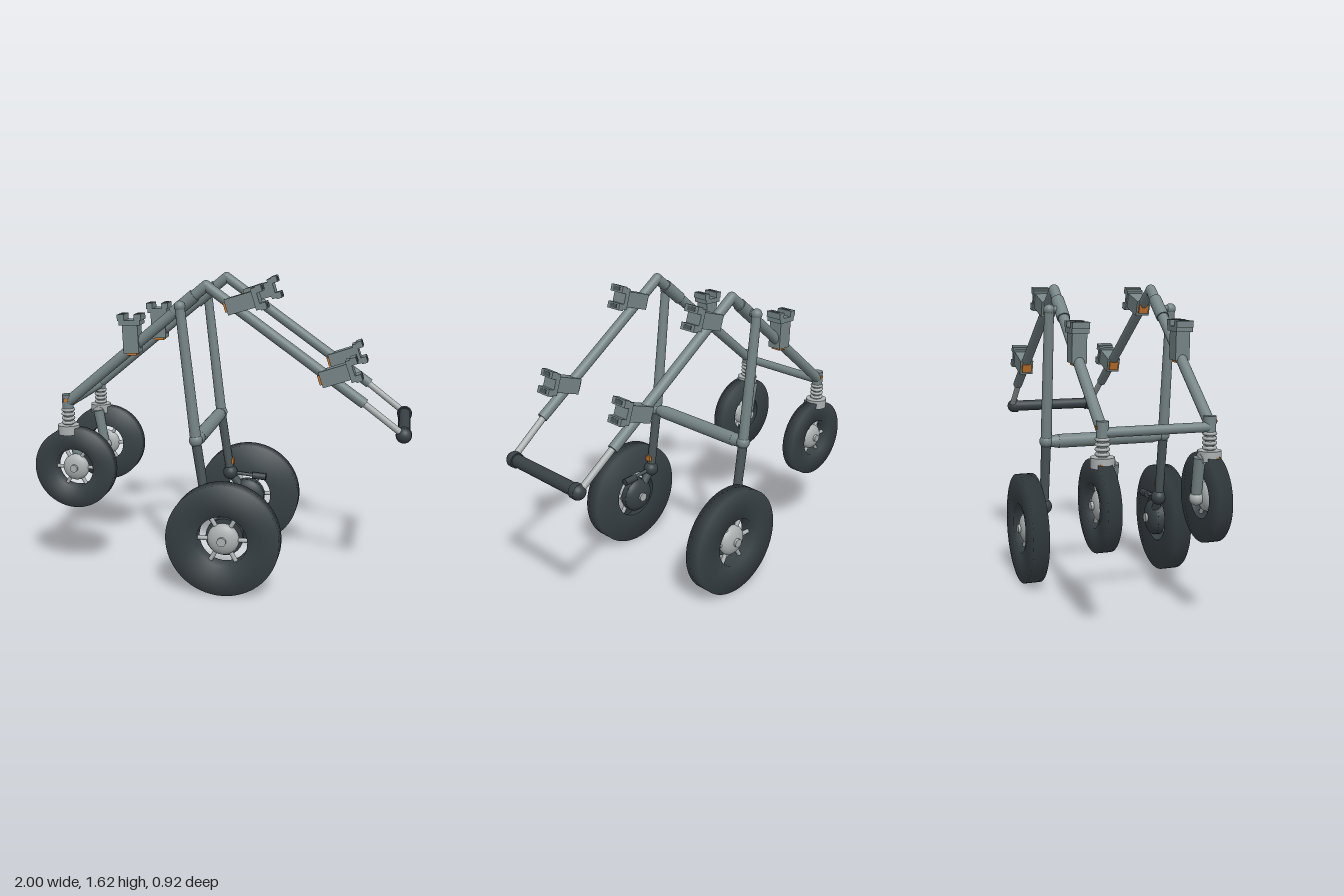
import * as THREE from 'three';

const mat = (name, color) => Object.assign(new THREE.MeshStandardMaterial({ color }), { name });

export function createModel() {
  const model = new THREE.Group();
  model.name = 'walker';
  const steel = mat('blueGreySteel', 0x758485);
  const darkSteel = mat('darkSteel', 0x4a5457);
  const rubber = mat('rubber', 0x384145);
  const alloy = mat('lightAlloy', 0xabb0b0);
  const orange = mat('orangeAccent', 0xc9762b);

  const V = (x, y, z) => new THREE.Vector3(x, y, z);
  const add = (parent, name, geo, material, x = 0, y = 0, z = 0) => {
    const m = new THREE.Mesh(geo, material);
    m.name = name;
    m.position.set(x, y, z);
    parent.add(m);
    return m;
  };
  // Round bar between two points, r0 at the start and r1 at the end
  const bar = (parent, name, a, b, r0, material, r1 = r0) => {
    const d = b.clone().sub(a);
    const m = add(parent, name, new THREE.CylinderGeometry(r1, r0, d.length(), 24), material);
    m.position.copy(a).addScaledVector(d, 0.5);
    m.quaternion.setFromUnitVectors(V(0, 1, 0), d.normalize());
    return m;
  };
  const ball = (parent, name, p, r, material) =>
    add(parent, name, new THREE.SphereGeometry(r, 24, 16), material, p.x, p.y, p.z);
  const box = (parent, name, w, h, d, material, x, y, z) =>
    add(parent, name, new THREE.BoxGeometry(w, h, d), material, x, y, z);

  // Wheel facing local +z: solid tyre ring, spokes and domed hub
  const wheel = (parent, name, c, s, R, hole, half, hubR) => {
    const g = new THREE.Group();
    g.name = name;
    g.position.copy(c);
    if (s < 0) g.rotation.y = Math.PI;
    parent.add(g);
    const profile = [[hole, -half], [R, -half], [R, half], [hole, half], [hole, -half]];
    const tyre = new THREE.LatheGeometry(profile.map(p => new THREE.Vector2(...p)), 64);
    add(g, 'tyre', tyre.rotateX(Math.PI / 2), rubber);
    const hub = new THREE.SphereGeometry(hubR, 32, 16).scale(1, 1, Math.min(1, half / hubR));
    add(g, 'hub', hub, alloy);
    bar(g, 'axleCap', V(0, 0, 0), V(0, 0, half + 0.012), hubR * 0.28, alloy);
    for (let i = 0; i < 6; i++) {
      const a = i * Math.PI / 3;
      bar(g, 'spoke', V(0, 0, 0), V(Math.cos(a) * hole * 1.03, Math.sin(a) * hole * 1.03, 0), hubR * 0.14, alloy);
    }
    return g;
  };

  // Clamp with its stem along local +y and a notched jaw at the top
  const clamp = (parent, name, x, y, z, angle) => {
    const g = new THREE.Group();
    g.name = name;
    g.position.set(x, y, z);
    g.rotation.z = angle;
    parent.add(g);
    box(g, 'clampStem', 0.082, 0.15, 0.076, steel, 0, -0.005, 0);
    box(g, 'jawBase', 0.1, 0.026, 0.09, steel, 0, 0.078, 0);
    for (const k of [-1, 1]) {
      box(g, 'jawProng', 0.036, 0.032, 0.09, steel, k * 0.045, 0.105, 0);
      box(g, 'jawSide', 0.016, 0.024, 0.09, steel, k * 0.048, 0.077, 0);
      box(g, 'jawPad', 0.022, 0.004, 0.05, darkSteel, k * 0.045, 0.1215, 0);
    }
    box(g, 'releaseTab', 0.05, 0.012, 0.054, orange, 0, -0.086, 0);
  };

  for (const s of [1, -1]) {
    const side = new THREE.Group();
    side.name = s > 0 ? 'frontSide' : 'backSide';
    model.add(side);
    const P = (x, y, z) => V(x, y, z * s);

    // Upper frame: sloping rod, hinge sleeve, apex and handle rod
    const apex = P(-0.055, 1.595, 0.272);
    bar(side, 'slopingRod', P(-0.815, 0.965, 0.272), apex, 0.028, steel);
    bar(side, 'hingeSleeve', P(-0.225, 1.454, 0.272), P(-0.115, 1.545, 0.272), 0.034, steel);
    ball(side, 'apexJoint', apex, 0.028, steel);
    bar(side, 'handleRod', apex, P(0.755, 1.02, 0.272), 0.027, steel);
    bar(side, 'handleTube', P(0.74, 1.03, 0.268), P(0.955, 0.865, 0.26), 0.017, alloy);
    ball(side, 'gripEnd', P(0.955, 0.862, 0.248), 0.041, rubber);
    bar(side, 'gripCollar', P(0.955, 0.862, 0.225), P(0.955, 0.862, 0.26), 0.04, rubber);

    // Clamps along the rods
    clamp(side, 'lowerFrontClamp', -0.447, 1.325, 0.272 * s, 0.04);
    clamp(side, 'upperHandleClamp', 0.13, 1.515, 0.272 * s, -1.27);
    clamp(side, 'lowerHandleClamp', 0.61, 1.165, 0.272 * s, -1.24);

    // Leg with pivot, knee joint and foot ball
    const knee = P(-0.1, 0.805, 0.335);
    const foot = P(-0.045, 0.44, 0.335);
    const hip = P(-0.178, 1.495, 0.335);
    bar(side, 'upperLeg', hip, knee, 0.025, steel, 0.029);
    ball(side, 'hipPivot', hip, 0.029, steel);
    bar(side, 'hipPin', P(-0.178, 1.495, 0.272), hip, 0.02, steel);
    ball(side, 'kneeJoint', knee, 0.036, steel);
    bar(side, 'lowerLeg', knee, foot, 0.026, darkSteel, 0.024);
    ball(side, 'footJoint', foot, 0.043, rubber);
    box(side, 'legTab', 0.015, 0.03, 0.03, orange, -0.03, 0.51, 0.335 * s);

    // Drum, link and brake lever behind the big wheel
    const drum = new THREE.SphereGeometry(0.1, 32, 16).scale(1, 1, 0.45);
    add(side, 'drumDome', drum, rubber, 0.057, 0.3, 0.347 * s);
    bar(side, 'drum', P(0.057, 0.3, 0.34), P(0.057, 0.3, 0.375), 0.1, rubber);
    bar(side, 'drumPin', P(0.057, 0.3, 0.292), P(0.057, 0.3, 0.34), 0.025, alloy);
    bar(side, 'drumLink', foot, P(0.04, 0.32, 0.345), 0.024, darkSteel);
    bar(side, 'leverRod', foot, P(0.1, 0.43, 0.33), 0.01, darkSteel);
    bar(side, 'brakeLever', P(0.09, 0.43, 0.325), P(0.17, 0.425, 0.325), 0.02, rubber);
    wheel(side, 'bigWheel', P(0.057, 0.3, 0.403), s, 0.3, 0.135, 0.044, 0.085);

    // Sprung caster: post, coil rings, crown, one-sided fork and wheel
    const cx = -0.815, cz = 0.27;
    bar(side, 'casterPost', P(cx, 0.925, cz), P(cx, 1.008, cz), 0.03, steel);
    bar(side, 'springCore', P(cx, 0.82, cz), P(cx, 0.94, cz), 0.022, alloy);
    for (let i = 0; i < 4; i++) {
      const ring = new THREE.TorusGeometry(0.027, 0.009, 10, 24).rotateX(Math.PI / 2);
      add(side, 'springRing', ring, alloy, cx, 0.855 + i * 0.023, cz * s);
    }
    bar(side, 'forkCrown', P(cx, 0.792, cz), P(cx, 0.842, cz), 0.058, alloy);
    bar(side, 'forkShoulder', P(cx, 0.815, cz), P(cx, 0.8, 0.222), 0.034, alloy);
    bar(side, 'forkBlade', P(cx, 0.81, 0.22), P(-0.78, 0.61, 0.22), 0.03, steel, 0.026);
    ball(side, 'forkEnd', P(-0.78, 0.605, 0.222), 0.036, alloy);
    box(side, 'crownTab', 0.02, 0.02, 0.03, orange, -0.86, 0.805, 0.285 * s);
    box(side, 'postTab', 0.022, 0.016, 0.008, orange, cx, 0.98, 0.299 * s);
    wheel(side, 'smallWheel', P(-0.78, 0.608, 0.273), s, 0.22, 0.105, 0.034, 0.072);
  }

  // Cross members joining the two sides
  bar(model, 'casterCrossbar', V(-0.82, 0.955, -0.26), V(-0.82, 0.955, 0.26), 0.024, steel);
  bar(model, 'legCrossbar', V(-0.1, 0.803, -0.27), V(-0.1, 0.803, 0.27), 0.037, steel);
  for (const s of [1, -1])
    bar(model, 'crossbarTaper', V(-0.1, 0.803, 0.265 * s), V(-0.1, 0.803, 0.33 * s), 0.037, steel, 0.026);
  bar(model, 'handGrip', V(0.955, 0.862, -0.24), V(0.955, 0.862, 0.24), 0.033, rubber);

  return model;
}
